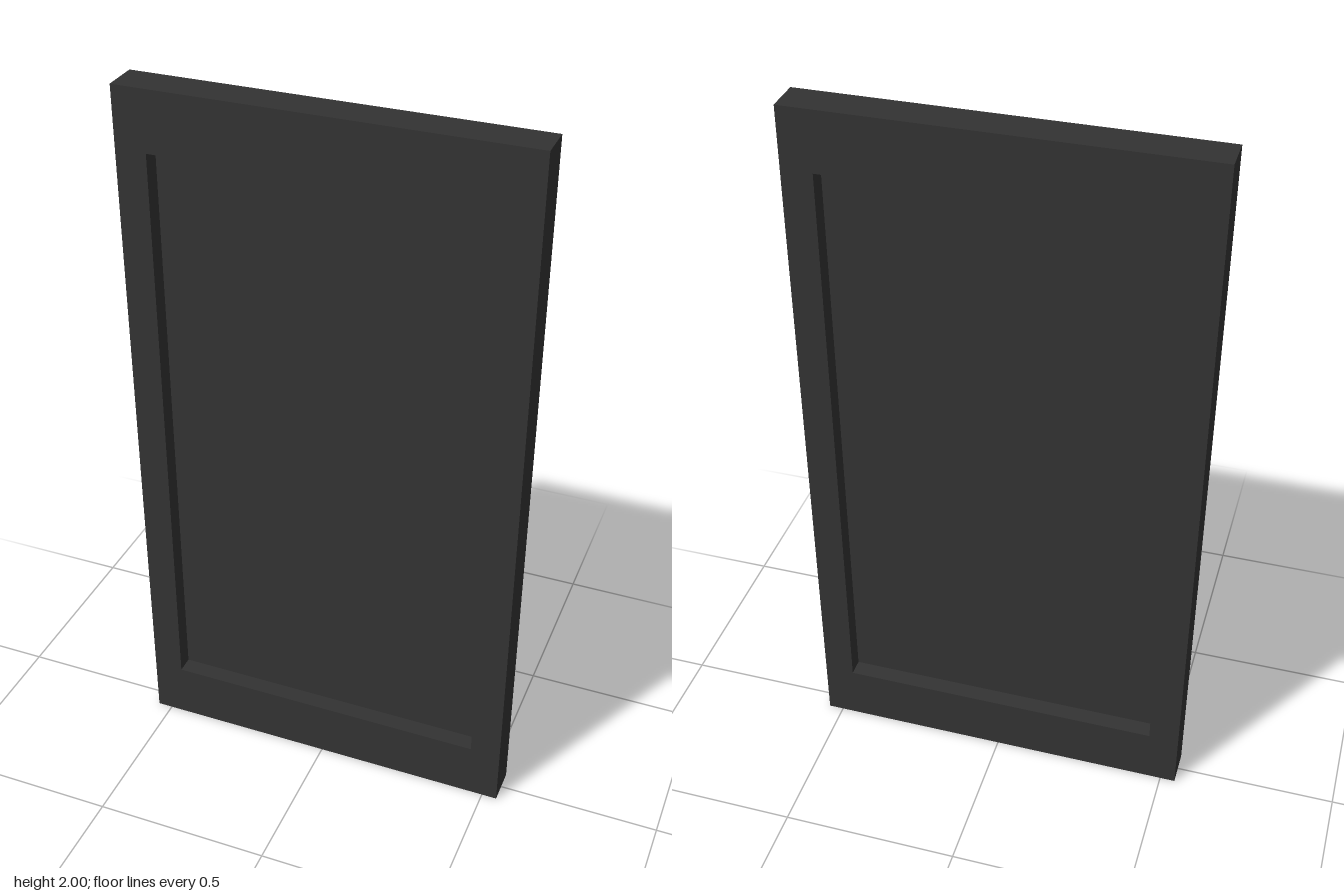
import * as THREE from 'three';

const W = 1.086, H = 2, D = 0.102;            // outer frame
const OPEN_W = 0.916, OPEN_H = 1.668;         // opening
const PANEL_T = 0.004;

// Rectangle centred on the origin, traced counter-clockwise
function trace(path, w, h) {
  path.moveTo(-w / 2, -h / 2);
  path.lineTo(w / 2, -h / 2);
  path.lineTo(w / 2, h / 2);
  path.lineTo(-w / 2, h / 2);
  path.closePath();
  return path;
}

export function createModel() {
  const model = new THREE.Group();
  model.name = 'framedPanel';
  const material = new THREE.MeshStandardMaterial({ color: 0x333333 });

  // Border with a rectangular opening
  const shape = trace(new THREE.Shape(), W, H);
  shape.holes.push(trace(new THREE.Path(), OPEN_W, OPEN_H));
  const frameGeometry = new THREE.ExtrudeGeometry(shape, { depth: D, bevelEnabled: false });
  frameGeometry.translate(0, H / 2, -D / 2);
  const frame = new THREE.Mesh(frameGeometry, material);
  frame.name = 'frame';

  // Thin sheet halfway through the frame, recessed on both sides
  const panel = new THREE.Mesh(new THREE.BoxGeometry(OPEN_W, OPEN_H, PANEL_T), material);
  panel.name = 'panel';
  panel.position.y = H / 2;

  model.add(frame, panel);
  return model;
}
